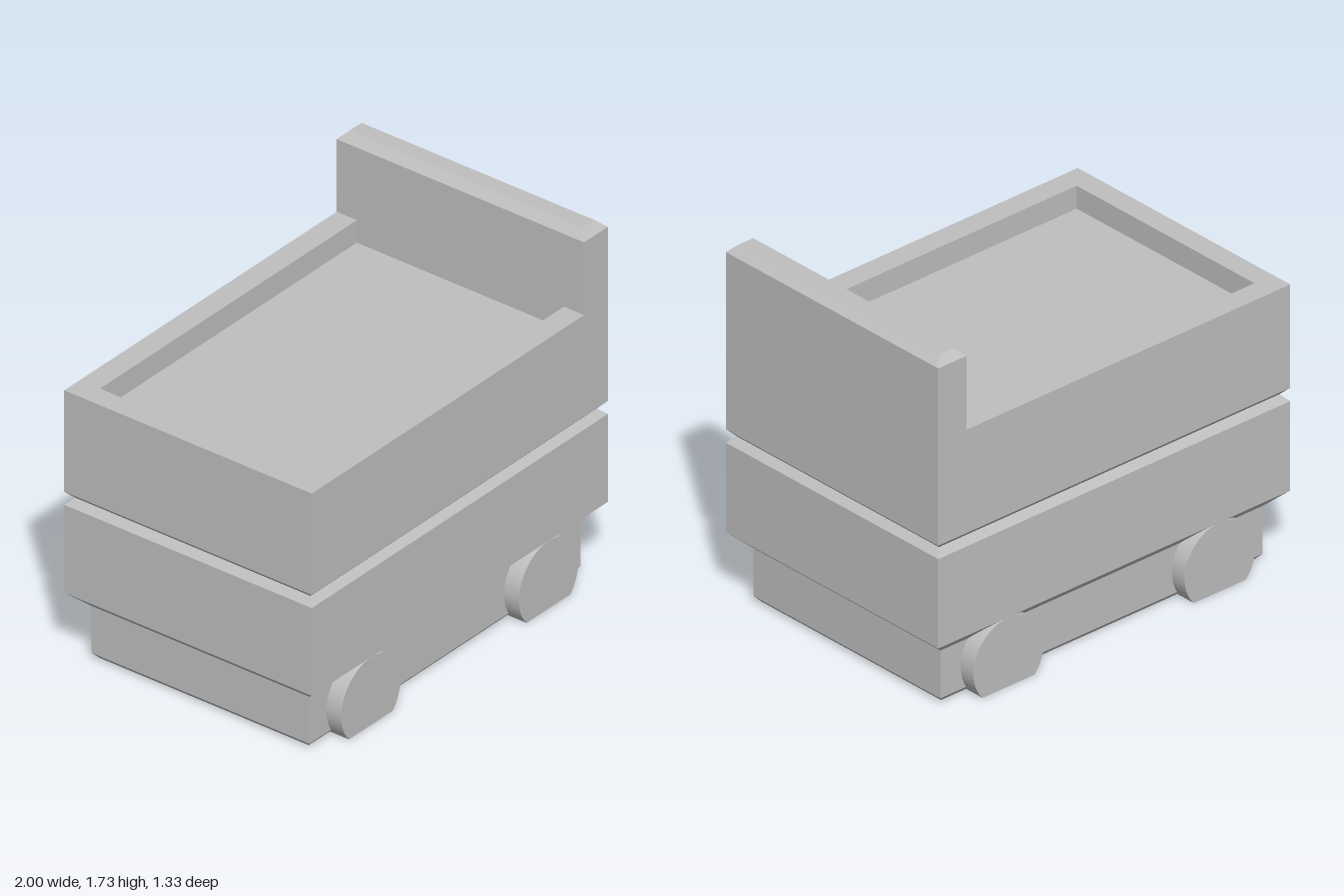
import * as THREE from 'three';
import { toCreasedNormals } from 'three/addons/utils/BufferGeometryUtils.js';

// Flat-sided solid through rectangular rings [y, xMin, xMax, zHalf]
function loft(rings, capBottom, capTop) {
  const corners = rings.map(([y, x0, x1, z]) => [[x0, y, z], [x1, y, z], [x1, y, -z], [x0, y, -z]]);
  const pos = [];
  const quad = (a, b, c, d) => pos.push(...a, ...b, ...c, ...a, ...c, ...d);
  for (let r = 0; r < corners.length - 1; r++) {
    const lo = corners[r], hi = corners[r + 1];
    for (let i = 0; i < 4; i++) {
      const j = (i + 1) % 4;
      quad(lo[i], lo[j], hi[j], hi[i]);
    }
  }
  if (capTop) quad(...corners[corners.length - 1]);
  if (capBottom) quad(...[...corners[0]].reverse());
  const geo = new THREE.BufferGeometry();
  geo.setAttribute('position', new THREE.Float32BufferAttribute(pos, 3));
  geo.computeVertexNormals();
  return geo;
}

export function createModel() {
  const model = new THREE.Group();
  model.name = 'cart';
  const grey = new THREE.MeshStandardMaterial({ color: 0xbfbfbf });
  grey.name = 'grey';

  const add = (name, geo) => {
    const mesh = new THREE.Mesh(geo, grey);
    mesh.name = name;
    model.add(mesh);
    return mesh;
  };
  const ring = (y, x, z) => [y, -x, x, z];

  // Narrow chassis with a chamfered bottom edge
  add('chassis', loft([ring(0, 0.89, 0.563), ring(0.028, 0.915, 0.587), ring(0.26, 0.915, 0.587)], true, false));

  // Lower body, flaring out from the chassis and chamfered at the top
  add('lowerBody', loft([
    ring(0.26, 0.915, 0.587), ring(0.336, 1, 0.667), ring(0.77, 1, 0.667), ring(0.802, 0.967, 0.635),
  ], false, false));

  // Upper body with a rim around the sunken bed
  add('upperBody', loft([
    ring(0.802, 0.967, 0.635), ring(0.835, 1, 0.667), ring(1.336, 1, 0.667),
    [1.336, -0.895, 0.84, 0.558], [1.225, -0.895, 0.84, 0.558],
  ], false, true));

  // Tall end wall with a chamfered top
  add('endWall', loft([
    [1.336, 0.84, 1, 0.667], [1.695, 0.84, 1, 0.667], [1.733, 0.88, 0.96, 0.628],
  ], false, true));

  // Wheels, cut flat at the ground
  const radius = 0.2, axleY = 0.135, start = -Math.asin(axleY / radius);
  const outline = new THREE.Shape();
  outline.absarc(0, axleY, radius, start, Math.PI - start, false);
  outline.closePath();
  const depth = 0.107;
  const wheelGeo = toCreasedNormals(
    new THREE.ExtrudeGeometry(outline, { depth, bevelEnabled: false, curveSegments: 48 }), 0.5);
  for (const [side, z] of [['front', 0.667 - depth], ['back', -0.667]]) {
    for (const [hand, x] of [['Left', 0.6], ['Right', -0.6]]) {
      add(`${side}${hand}Wheel`, wheelGeo).position.set(x, 0, z);
    }
  }
  return model;
}
